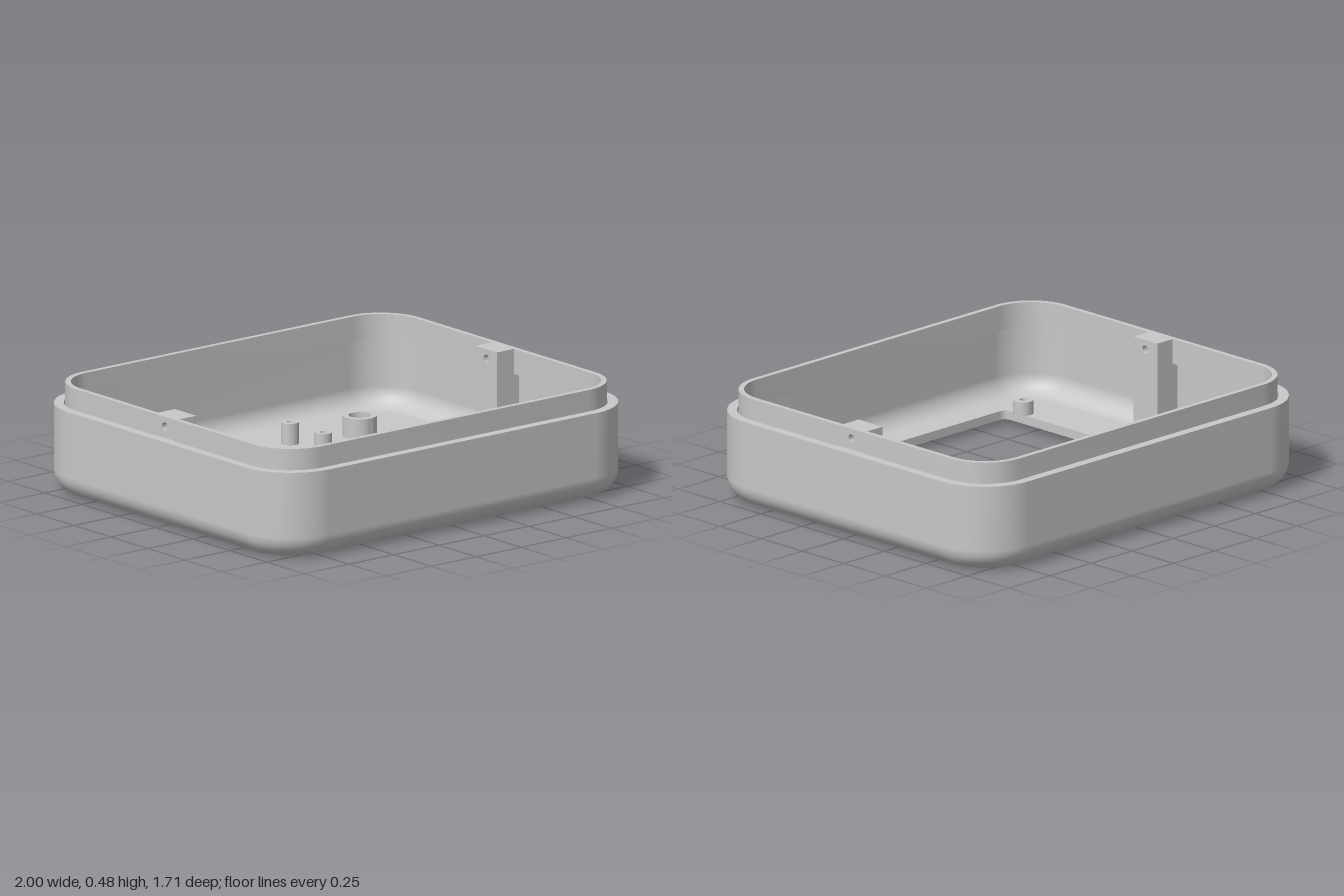
import * as THREE from 'three';
import { toCreasedNormals } from 'three/addons/utils/BufferGeometryUtils.js';

const W = 1, D = 0.857, R = 0.26;           // half width, half depth, corner radius
const SHELF = 0.39, TOP = 0.483;            // heights of the outer wall and the lip
const UNDER = 0.026, FLOOR = 0.065;         // underside and top of the floor plate
const WALL = 0.043, RECESS = 0.105;         // wall thickness, inset of the underside recess

// Rounded rectangle outline as [x, z] points, moved inwards by inset
function outline(inset) {
  const pts = [], r = R - inset, n = 14;
  const corners = [[1, 1], [-1, 1], [-1, -1], [1, -1]];
  corners.forEach(([sx, sz], c) => {
    for (let i = 0; i <= n; i++) {
      const a = (c + i / n) * Math.PI / 2;
      pts.push([sx * (W - R) + r * Math.cos(a), sz * (D - R) + r * Math.sin(a)]);
    }
  });
  return pts;
}

// Surface through a list of [inset, y] outlines
function loft(profile) {
  const pos = [], idx = [];
  const rows = profile.map(([inset, y]) => outline(inset).map(([x, z]) => [x, y, z]));
  const n = rows[0].length;
  rows.forEach(row => row.forEach(p => pos.push(...p)));
  for (let j = 0; j < rows.length - 1; j++) {
    for (let i = 0; i < n; i++) {
      const a = j * n + i, b = j * n + (i + 1) % n;
      idx.push(a, a + n, b, b, a + n, b + n);
    }
  }
  const g = new THREE.BufferGeometry();
  g.setAttribute('position', new THREE.Float32BufferAttribute(pos, 3));
  g.setIndex(idx);
  g.computeVertexNormals();
  return g;
}

// Upright extrusion of a plan shape drawn as (x, -z), from height y0 to y1
function raise(shape, y0, y1) {
  const g = new THREE.ExtrudeGeometry(shape, { depth: y1 - y0, bevelEnabled: false, curveSegments: 24 });
  g.rotateX(-Math.PI / 2);
  g.translate(0, y0, 0);
  return toCreasedNormals(g, 0.6);
}

const circle = (x, y, r) => new THREE.Path().absarc(x, y, r, 0, Math.PI * 2, true);

function tubeShape(outer, inner) {
  const s = new THREE.Shape().absarc(0, 0, outer, 0, Math.PI * 2, false);
  s.holes.push(circle(0, 0, inner));
  return s;
}

function roundedWindow(x0, y0, x1, y1, r) {
  const p = new THREE.Path();
  p.absarc(x1 - r, y1 - r, r, 0, Math.PI / 2, false);
  p.absarc(x0 + r, y1 - r, r, Math.PI / 2, Math.PI, false);
  p.absarc(x0 + r, y0 + r, r, Math.PI, Math.PI * 1.5, false);
  p.absarc(x1 - r, y0 + r, r, Math.PI * 1.5, Math.PI * 2, false);
  p.closePath();
  return p;
}

export function createModel() {
  const model = new THREE.Group();
  model.name = 'enclosure';
  const grey = new THREE.MeshStandardMaterial({ color: 0xc8c8c8 });
  grey.name = 'grey plastic';

  function add(name, geometry, x = 0, z = 0, turn = 0) {
    const m = new THREE.Mesh(geometry, grey);
    m.name = name;
    m.position.set(x, 0, z);
    m.rotation.y = turn;
    model.add(m);
  }

  // Outer and inner wall with rounded bottom edges
  const outer = [], inner = [[WALL, SHELF]], steps = 10, ro = 0.1, ri = 0.09;
  for (let i = 0; i <= steps; i++) {
    const a = i / steps * Math.PI / 2, s = 1 - Math.sin(a), c = 1 - Math.cos(a);
    outer.push([ro * s, ro * c]);
    inner.push([WALL + ri * c, FLOOR + ri * s]);
  }
  outer.push([0, SHELF]);
  add('outerWall', loft(outer));
  add('shelf', loft([[0, SHELF], [WALL, SHELF]]));
  add('innerWall', loft(inner));

  // Narrow foot rim around the recessed underside
  add('footRim', loft([[RECESS, 0], [ro, 0]]));
  add('recessWall', loft([[RECESS, UNDER], [RECESS, 0]]));

  // Floor with screen window and three round openings
  const rowZ = -0.448;
  const floor = new THREE.Shape(outline(RECESS).map(([x, z]) => new THREE.Vector2(x, z)));
  floor.holes.push(
    roundedWindow(-0.645, -0.66, 0.643, 0.288, 0.03),
    circle(0, -rowZ, 0.078), circle(0.5, -rowZ, 0.048), circle(-0.5, -rowZ, 0.019));
  add('floor', raise(floor, UNDER, FLOOR));

  // Thin lip standing just inside the wall, in two halves between the side blocks
  const half = 0.073, lipOut = 0.049, lipIn = 0.073;
  const halfLoop = inset => {
    const pts = outline(inset).filter(p => p[1] > 0);
    return [[W - inset, half], ...pts, [-(W - inset), half]];
  };
  const lip = new THREE.Shape([...halfLoop(lipOut), ...halfLoop(lipIn).reverse()]
    .map(([x, y]) => new THREE.Vector2(x, y)));
  const lipGeometry = raise(lip, 0.372, TOP);
  add('backLip', lipGeometry);
  add('frontLip', lipGeometry, 0, 0, Math.PI);

  // Side fastening blocks with a cross hole near the top, joined to the wall
  const block = new THREE.Shape([[-half, FLOOR], [half, FLOOR], [half, TOP], [-half, TOP]]
    .map(([x, y]) => new THREE.Vector2(x, y)));
  block.holes.push(circle(0, 0.44, 0.018));
  const blockStart = 0.835;
  let blockGeometry = new THREE.ExtrudeGeometry(block,
    { depth: W - lipOut - blockStart, bevelEnabled: false, curveSegments: 16 });
  blockGeometry.rotateY(Math.PI / 2);
  blockGeometry.translate(blockStart, 0, 0);
  blockGeometry = toCreasedNormals(blockGeometry, 0.6);
  const web = new THREE.BoxGeometry(lipOut - WALL, SHELF - FLOOR, 2 * half);
  web.translate(W - (lipOut + WALL) / 2, (SHELF + FLOOR) / 2, 0);
  [['left', 0], ['right', Math.PI]].forEach(([side, turn]) => {
    add(side + 'Block', blockGeometry, 0, 0, turn);
    add(side + 'BlockWeb', web, 0, 0, turn);
  });

  // Screw posts around the window
  const screenPost = raise(tubeShape(0.044, 0.016), FLOOR, 0.125);
  for (const x of [-0.668, 0.736]) for (const z of [-0.203, 0.573]) add('screenPost', screenPost, x, z);

  // Smaller posts around the central opening
  const sensorPost = raise(tubeShape(0.039, 0.014), FLOOR, 0.16);
  for (const x of [-0.188, 0.186]) for (const z of [-0.537, -0.314]) add('sensorPost', sensorPost, x, z);

  // Collars around the other two openings
  add('buzzerCollar', raise(tubeShape(0.163, 0.133), FLOOR, 0.122), -0.5, rowZ);
  add('buttonCollar', raise(tubeShape(0.074, 0.048), FLOOR, 0.155), 0.5, rowZ);

  return model;
}
